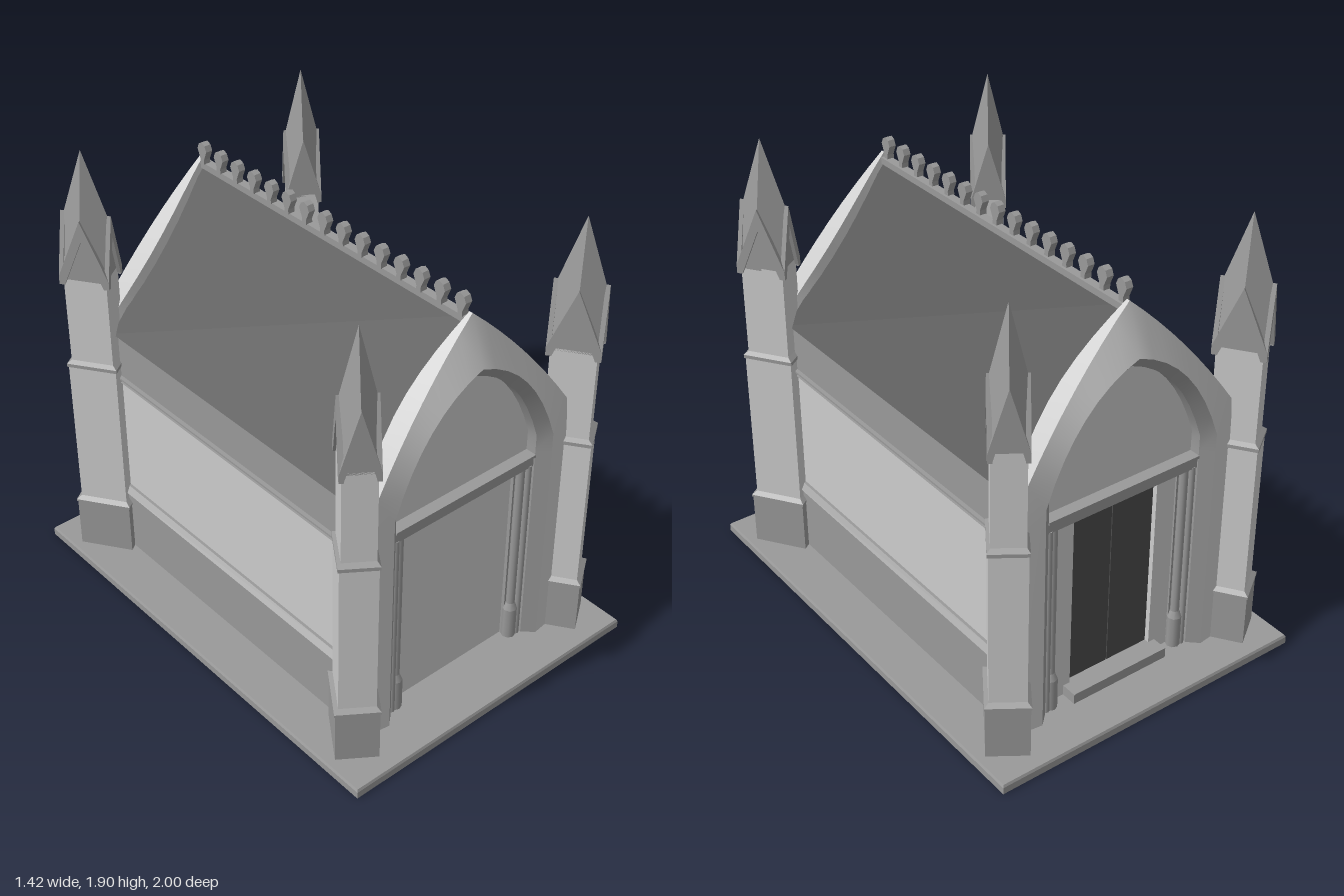
import * as THREE from 'three';
import { toCreasedNormals } from 'three/addons/utils/BufferGeometryUtils.js';
import { ConvexGeometry } from 'three/addons/geometries/ConvexGeometry.js';

const mat = (color, side = THREE.FrontSide) => new THREE.MeshStandardMaterial({ color, side });
const light = mat(0xcccccc), mid = mat(0x999999), dark = mat(0x4c4c4c);
const lightThin = mat(0xcccccc, THREE.DoubleSide), midThin = mat(0x999999, THREE.DoubleSide);

function add(parent, name, geometry, material) {
  const mesh = new THREE.Mesh(geometry, material);
  mesh.name = name;
  parent.add(mesh);
  return mesh;
}

// Box given by its limits
function box(parent, name, material, x0, x1, y0, y1, z0, z1) {
  const g = new THREE.BoxGeometry(x1 - x0, y1 - y0, z1 - z0);
  g.translate((x0 + x1) / 2, (y0 + y1) / 2, (z0 + z1) / 2);
  return add(parent, name, g, material);
}

// Four-sided block whose top may have another size than its bottom
function taper(parent, name, material, y0, y1, w0, l0, w1 = w0, l1 = l0) {
  const g = new THREE.BoxGeometry(1, 1, 1).toNonIndexed();
  const p = g.attributes.position;
  for (let i = 0; i < p.count; i++) {
    const top = p.getY(i) > 0;
    p.setXYZ(i, p.getX(i) * (top ? w1 : w0), top ? y1 : y0, p.getZ(i) * (top ? l1 : l0));
  }
  g.computeVertexNormals();
  return add(parent, name, g, material);
}

// Outline in x and y pulled along z
function slab(parent, name, material, points, z0, z1) {
  const shape = new THREE.Shape(points.map(([x, y]) => new THREE.Vector2(x, y)));
  const g = new THREE.ExtrudeGeometry(shape, { depth: z1 - z0, bevelEnabled: false });
  g.translate(0, 0, z0);
  return add(parent, name, g, material);
}

// Pointed arch line from right foot over the apex to left foot
function archLine(foot, spring, control, apex, bottom = 0.04) {
  const curve = new THREE.QuadraticBezierCurve(
    new THREE.Vector2(...spring), new THREE.Vector2(...control), new THREE.Vector2(0, apex));
  const half = [[foot, bottom], [foot, 0.96], ...curve.getPoints(8).map(v => [v.x, v.y])];
  return [...half, ...half.slice(0, -1).reverse().map(([x, y]) => [-x, y])];
}

// Surface stretched over arch lines; depth z is a rule of the height
function loft(rings) {
  const n = rings[0].line.length, pos = [], idx = [];
  for (const { line, z } of rings) for (const [x, y] of line) pos.push(x, y, z(y));
  for (let r = 0; r < rings.length - 1; r++) {
    for (let i = 0; i < n - 1; i++) {
      const a = r * n + i, b = a + n;
      idx.push(a, a + 1, b, b, a + 1, b + 1);
    }
  }
  const g = new THREE.BufferGeometry();
  g.setAttribute('position', new THREE.Float32BufferAttribute(pos, 3));
  g.setIndex(idx);
  return toCreasedNormals(g, 0.5);
}

// Corner buttress with stepped shaft, four gables and a helm spire
function buttress(sx, sz) {
  const g = new THREE.Group();
  g.name = 'cornerButtress';
  taper(g, 'buttressBase', mid, 0.04, 0.265, 0.168, 0.228);
  taper(g, 'baseLip', mid, 0.265, 0.275, 0.176, 0.236);
  taper(g, 'baseLipSlope', mid, 0.275, 0.29, 0.176, 0.236, 0.143, 0.2);
  taper(g, 'lowerShaft', light, 0.28, 0.955, 0.143, 0.2);
  taper(g, 'shaftLip', mid, 0.95, 0.965, 0.153, 0.21);
  taper(g, 'shaftLipSlope', mid, 0.965, 0.98, 0.153, 0.21, 0.128, 0.176);
  taper(g, 'upperShaft', light, 0.97, 1.37, 0.128, 0.176);

  // Helm spire: rhombic faces from corners over the gable peaks to the tip
  const w = 0.064, l = 0.088, peak = 1.63;
  const corners = [[w, l], [w, -l], [-w, l], [-w, -l]].map(([x, z]) => new THREE.Vector3(x, 1.36, z));
  const peaks = [[w, 0], [-w, 0], [0, l], [0, -l]].map(([x, z]) => new THREE.Vector3(x, peak, z));
  add(g, 'helmSpire', new ConvexGeometry([...corners, ...peaks, new THREE.Vector3(0, 1.9, 0)]), mid);

  // Raking trim on the four gables
  for (const [half, out, turn] of [[0.074, 0.103, 0], [0.103, 0.074, Math.PI / 2]]) {
    for (const flip of [0, Math.PI]) {
      const trim = slab(g, 'gableTrim', mid, [[-half, 1.34], [-half * 0.78, 1.34], [0, 1.54],
        [half * 0.78, 1.34], [half, 1.34], [half, 1.375], [0, peak], [-half, 1.375]], out - 0.018, out);
      trim.rotation.y = turn + flip;
    }
  }
  g.position.set(sx * 0.538, 0, sz * 0.788 - 0.004);
  g.rotation.y = Math.atan2(sx * 0.57, sz * 0.82);
  return g;
}

// Arched end wall, with a plain panel or a double door
function portal(hasDoor) {
  const g = new THREE.Group();
  g.name = hasDoor ? 'backPortal' : 'frontPortal';
  const outer = archLine(0.492, [0.473, 1.165], [0.26, 1.48], 1.71);
  const inner = archLine(0.4, [0.4, 1.04], [0.27, 1.42], 1.51);
  const reveal = archLine(0.355, [0.355, 1.03], [0.24, 1.38], 1.46);
  // The frame leans back towards its apex and its rear edge is scalloped
  const rise = y => Math.max(0, (y - 1.165) / 0.545);
  const backEdge = y => 0.75 - 0.04 * Math.sin(Math.PI * rise(y));
  const frontEdge = y => 0.82 - 0.055 * rise(y);
  add(g, 'archFrame', loft([{ line: reveal, z: () => 0.71 }, { line: outer, z: backEdge },
    { line: outer, z: frontEdge }, { line: inner, z: () => 0.832 }]), lightThin);
  add(g, 'archReveal', loft([{ line: inner, z: () => 0.832 }, { line: reveal, z: () => 0.79 },
    { line: reveal, z: () => 0.71 }]), midThin);
  slab(g, 'tympanum', light, archLine(0.357, [0.357, 1.03], [0.242, 1.38], 1.462, 0.92), 0.7, 0.745);
  box(g, 'lintel', mid, -0.355, 0.355, 0.885, 0.93, 0.7, 0.785);
  box(g, 'lintelCap', mid, -0.355, 0.355, 0.93, 0.942, 0.7, 0.795);

  for (const s of [-1, 1]) {
    // Clustered jamb columns
    const post = box(g, 'jamb', mid, -0.035, 0.035, 0.04, 0.89, 0.7, 0.75);
    post.position.x = s * 0.325;
    for (const [x, z, r] of [[0.312, 0.762, 0.018], [0.34, 0.775, 0.014]]) {
      const shaft = add(g, 'jambColumn', new THREE.CylinderGeometry(r, r, 0.85, 8), mid);
      shaft.position.set(s * x, 0.465, z);
    }
    const foot = add(g, 'columnFoot', new THREE.CylinderGeometry(0.03, 0.03, 0.14, 8), mid);
    foot.position.set(s * 0.312, 0.11, 0.762);
    const neck = add(g, 'columnFootSlope', new THREE.CylinderGeometry(0.018, 0.03, 0.03, 8), mid);
    neck.position.set(s * 0.312, 0.195, 0.762);
  }

  if (hasDoor) {
    for (const s of [-1, 1]) {
      const leaf = box(g, 'doorLeaf', dark, -0.098, 0.098, 0.04, 0.885, 0.7, 0.722);
      leaf.position.x = s * 0.1;
      const side = box(g, 'doorSurround', light, -0.047, 0.047, 0.04, 0.885, 0.7, 0.742);
      side.position.x = s * 0.246;
    }
    box(g, 'doorStep', mid, -0.23, 0.23, 0.04, 0.085, 0.71, 0.81);
  } else {
    box(g, 'frontPanel', light, -0.295, 0.295, 0.04, 0.888, 0.7, 0.735);
  }
  return g;
}

export function createModel() {
  const model = new THREE.Group();
  model.name = 'gothicMausoleum';

  // Ground slab
  box(model, 'groundSlab', mid, -0.71, 0.71, 0, 0.03, -1, 1);
  taper(model, 'groundSlabTop', mid, 0.03, 0.04, 1.42, 2, 1.41, 1.99);

  // Side walls in layers, with undercut mouldings
  box(model, 'plinth', mid, -0.512, 0.512, 0.04, 0.315, -0.705, 0.705);
  taper(model, 'plinthUndercut', mid, 0.312, 0.324, 1.024, 1.41, 1.046, 1.41);
  taper(model, 'plinthMoulding', mid, 0.324, 0.342, 1.046, 1.41, 1.0, 1.41);
  box(model, 'wallPanel', light, -0.488, 0.488, 0.34, 0.865, -0.705, 0.705);
  taper(model, 'lowerString', mid, 0.858, 0.874, 0.976, 1.41, 1.004, 1.41);
  taper(model, 'upperString', mid, 0.88, 0.894, 0.984, 1.41, 1.018, 1.41);
  box(model, 'stringFillet', mid, -0.509, 0.509, 0.894, 0.902, -0.705, 0.705);
  box(model, 'upperWall', mid, -0.492, 0.492, 0.87, 1.095, -0.705, 0.705);

  // Roof and ridge cresting
  slab(model, 'roof', dark, [[-0.498, 1.088], [0.498, 1.088], [0, 1.685]], -0.735, 0.735);
  box(model, 'ridgeBeam', mid, -0.018, 0.018, 1.665, 1.692, -0.745, 0.745);
  const outline = [[-0.012, 1.69], [0.012, 1.69], [0.011, 1.71], [0.028, 1.75], [0.018, 1.773],
    [0, 1.782], [-0.018, 1.773], [-0.028, 1.75], [-0.011, 1.71]];
  for (let i = 0; i < 15; i++) {
    const knob = slab(model, 'ridgeFinial', mid, outline, -0.015, 0.015);
    knob.rotation.y = Math.PI / 2;
    knob.position.set(-0.008, 0, (i - 7) * 0.1037);
  }

  // End walls
  model.add(portal(false));
  const back = portal(true);
  back.rotation.y = Math.PI;
  model.add(back);

  for (const sx of [-1, 1]) for (const sz of [-1, 1]) model.add(buttress(sx, sz));
  return model;
}
